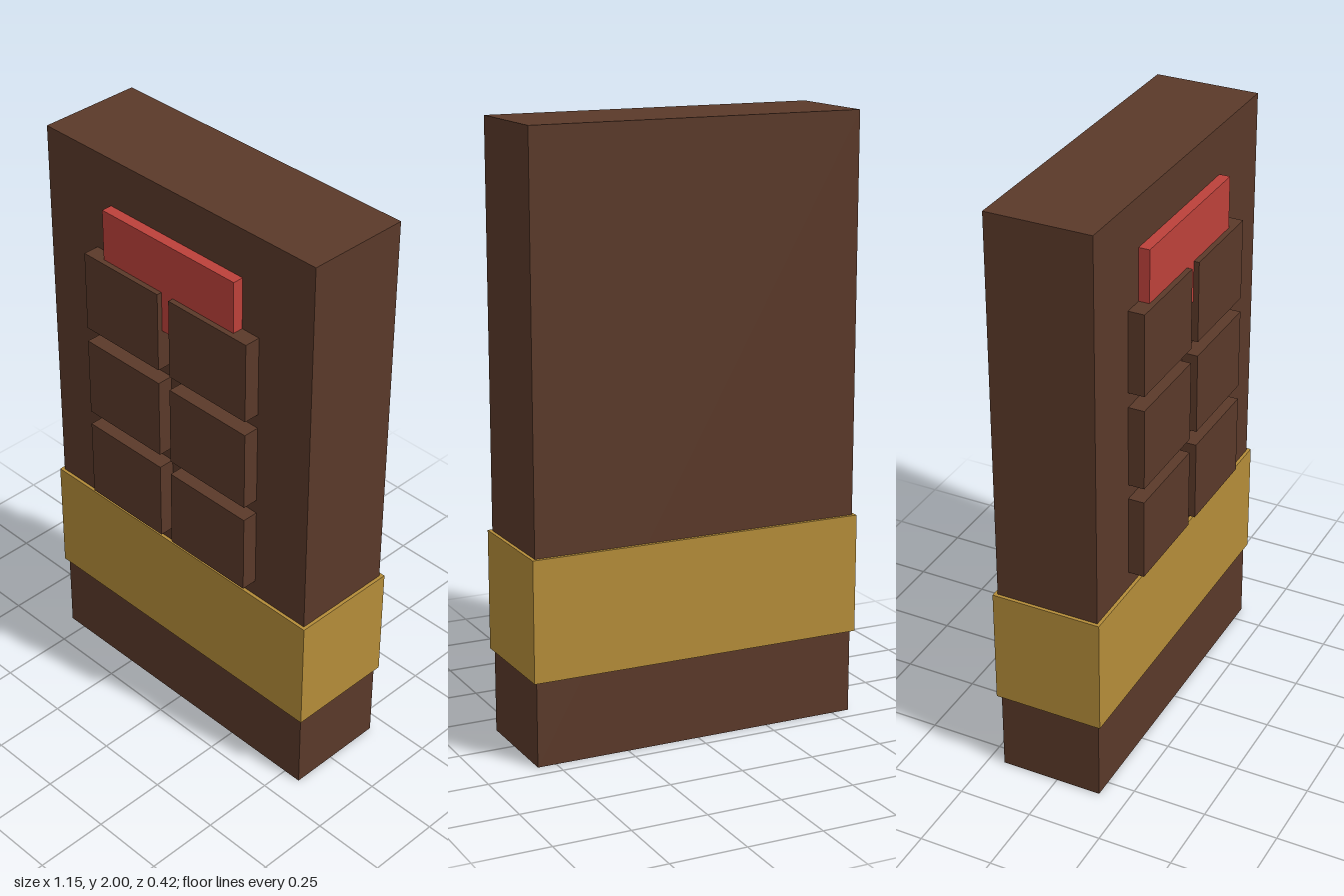
import * as THREE from 'three';

export function createModel() {
  const group = new THREE.Group();
  const material = (name, color) => {
    const m = new THREE.MeshStandardMaterial({ color });
    m.name = name;
    return m;
  };
  const chocolate = material('chocolate brown', 0x5a3929);
  const red = material('label red', 0xbc413a);
  const gold = material('foil gold', 0xb48c39);

  // Box given by its lower and upper limits on each axis
  const addBox = (name, mat, [x0, x1], [y0, y1], [z0, z1]) => {
    const mesh = new THREE.Mesh(new THREE.BoxGeometry(x1 - x0, y1 - y0, z1 - z0), mat);
    mesh.position.set((x0 + x1) / 2, (y0 + y1) / 2, (z0 + z1) / 2);
    mesh.name = name;
    group.add(mesh);
  };

  const front = 0.154;

  // Main slab and the band wrapped round it
  addBox('slab', chocolate, [-0.5625, 0.5625], [0, 2], [-0.196, front]);
  addBox('band', gold, [-0.574, 0.574], [0.281, 0.68], [-0.208, 0.165]);

  // Raised label, partly hidden behind the top squares
  addBox('label', red, [-0.28, 0.28], [1.525, 1.838], [front - 0.01, 0.19]);

  // Two columns of three raised squares
  for (let row = 0; row < 3; row++) {
    const y = 0.738 + row * 0.325;
    for (const side of [-1, 1]) {
      const x = side * 0.1865;
      addBox('square', chocolate, [x - 0.1625, x + 0.1625], [y, y + 0.275], [front - 0.01, 0.208]);
    }
  }
  return group;
}
